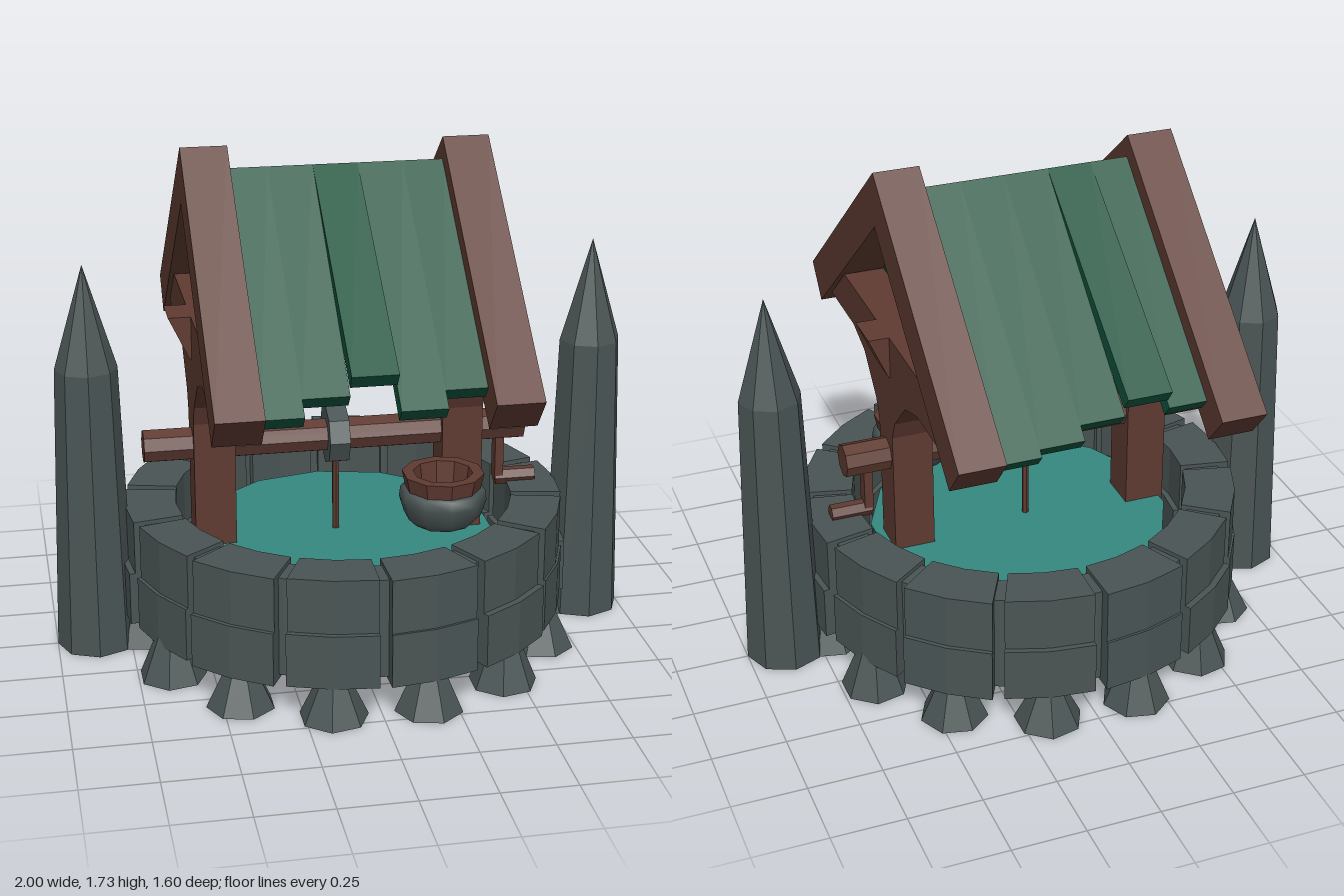
import * as THREE from 'three';

export function createModel() {
  const model = new THREE.Group();
  const mat = (name, color) => {
    const m = new THREE.MeshStandardMaterial({ color });
    m.name = name;
    return m;
  };
  const stone = mat('stone', 0x4a5454);
  const wood = mat('wood', 0x5f3a31);
  const green = mat('green planks', 0x10533b);
  const water = mat('water', 0x358880);

  const add = (name, geo, material, x = 0, y = 0, z = 0, parent = model) => {
    const mesh = new THREE.Mesh(geo, material);
    mesh.name = name;
    mesh.position.set(x, y, z);
    parent.add(mesh);
    return mesh;
  };
  const flat = (geo) => {
    const g = geo.index ? geo.toNonIndexed() : geo;
    g.computeVertexNormals();
    return g;
  };
  const cyl = (rTop, rBottom, h, sides) => flat(new THREE.CylinderGeometry(rTop, rBottom, h, sides));
  const box = (w, h, d) => new THREE.BoxGeometry(w, h, d);
  const extrude = (pts, depth) => new THREE.ExtrudeGeometry(
    new THREE.Shape(pts.map(([a, b]) => new THREE.Vector2(a, b))), { depth, bevelEnabled: false });
  // Outline given as (z, y), extruded along x from x0 to x1
  const alongX = (pts, x0, x1) =>
    extrude(pts.map(([z, y]) => [-z, y]), x1 - x0).rotateY(Math.PI / 2).translate(x0, 0, 0);

  // Wall: two tiers of curved blocks with narrow joints
  const N = 14, step = (Math.PI * 2) / N;
  const sector = (inner, outer, h) => {
    const half = step / 2 - 0.025, pts = [];
    for (const t of [-1, 0, 1]) pts.push([Math.sin(t * half) * outer, -Math.cos(t * half) * outer]);
    for (const t of [1, 0, -1]) pts.push([Math.sin(t * half) * inner, -Math.cos(t * half) * inner]);
    return extrude(pts, h).rotateX(-Math.PI / 2);
  };
  const tiers = [
    { name: 'lowerWallBlock', y: 0.125, h: 0.185, inner: 0.56, outer: 0.765 },
    { name: 'upperWallBlock', y: 0.31, h: 0.185, inner: 0.58, outer: 0.75 },
  ];
  for (const [t, tier] of tiers.entries()) {
    for (let i = 0; i < N; i++) {
      const r = tier.outer + 0.008 * Math.sin(i * 2.7 + t);
      add(tier.name, sector(tier.inner, r, tier.h), stone, 0, tier.y, 0).rotation.y = (i + 0.5) * step;
    }
  }
  // Mortar ring closing the joints
  const ring = new THREE.LatheGeometry([[0.6, 0.14], [0.715, 0.14], [0.715, 0.48], [0.6, 0.48], [0.6, 0.14]]
    .map(([r, y]) => new THREE.Vector2(r, y)), 28);
  add('mortarRing', flat(ring), stone);

  // Foot stones around the base
  for (let i = 0; i < N; i++) {
    const a = (i + 0.5) * step;
    const h = 0.18 + 0.02 * Math.sin(i * 1.9);
    const foot = add('footStone', cyl(0.035, 0.115, h, 7), stone, Math.sin(a) * 0.705, h / 2, Math.cos(a) * 0.705);
    foot.rotation.y = a;
  }

  // Basin and water
  const basin = [[0, 0], [0.41, 0], [0.41, 0], [0.415, 0.13], [0.46, 0.24], [0.5, 0.35]];
  add('basin', new THREE.LatheGeometry(basin.slice(2).map(([r, y]) => new THREE.Vector2(r, y)), 20), stone);
  add('basinFloor', new THREE.CircleGeometry(0.41, 20).rotateX(Math.PI / 2), stone);
  add('waterSurface', new THREE.CylinderGeometry(0.52, 0.52, 0.008, 14), water, 0, 0.356, 0);

  // Pointed side pillars
  for (const s of [-1, 1]) {
    add('pillarShaft', cyl(0.105, 0.135, 1, 8), stone, s * 0.865, 0.5, 0);
    add('pillarPoint', flat(new THREE.ConeGeometry(0.105, 0.355, 8)), stone, s * 0.865, 1.1775, 0);
  }

  // Timber frame: posts, brackets, ties and rafters
  const bracket = [[0.37, 1.04], [0.22, 0.99], [0.1, 0.87], [0.07, 0.8],
    [-0.07, 0.8], [-0.1, 0.87], [-0.22, 0.99], [-0.37, 1.04]];
  const rafters = [[0, 1.73], [0.785, 1.07], [0.693, 0.96], [0, 1.543], [-0.693, 0.96], [-0.785, 1.07]];
  const tie = [[-0.6, 1.03], [0.6, 1.03], [0.43, 1.178], [-0.43, 1.178]];
  for (const s of [-1, 1]) {
    const cx = -0.0225 + s * 0.4275;
    add('post', box(0.14, 0.72, 0.14), wood, cx, 0.7, 0);
    add('postBracket', alongX(bracket, cx - 0.07, cx + 0.07), wood);
    add('tieBeam', alongX(tie, cx - 0.07, cx + 0.07), wood);
    const rx = -0.0225 + s * 0.435;
    add('rafterPair', alongX(rafters, rx - 0.0775, rx + 0.0775), wood);
  }
  const cross = [[-0.525, 1.03], [0.48, 1.03], [0.545, 1.178], [-0.595, 1.178]];
  add('crossBeam', extrude(cross, 0.14), wood, 0, 0, -0.07);

  // Roof planks: end z and end y along each slope, one plank on each side lifted
  const edges = [-0.385, -0.25, -0.1, 0.05, 0.2, 0.34];
  const ridge = 1.655, slope = 0.846, thick = 0.055;
  const plank = (side, x0, x1, endZ, lift) => {
    const endY = ridge - slope * endZ + lift;
    const a = Math.atan2(ridge - endY, endZ);
    const pts = [[0, ridge], [endZ, endY],
      [endZ - Math.sin(a) * thick, endY - Math.cos(a) * thick], [0, ridge - thick / Math.cos(a)]];
    add('roofPlank', alongX(pts.map(([z, y]) => [side * z, y]), x0, x1), green);
  };
  const frontEnds = [0.72, 0.67, 0.69, 0.72, 0.67];
  const backEnds = [0.67, 0.69, 0.67, 0.71, 0.73];
  for (let i = 0; i < 5; i++) {
    plank(1, edges[i], edges[i + 1], frontEnds[i], i === 2 ? 0.085 : 0);
    plank(-1, edges[i], edges[i + 1], backEnds[i], i === 1 ? 0.085 : 0);
  }

  // Windlass with rope and crank
  const axle = cyl(0.058, 0.058, 1.315, 8).rotateZ(Math.PI / 2);
  add('axle', axle, wood, -0.0275, 0.708, 0);
  add('spool', cyl(0.102, 0.102, 0.07, 8).rotateZ(Math.PI / 2), stone, -0.025, 0.708, 0);
  add('rope', cyl(0.012, 0.012, 0.3, 6), wood, -0.025, 0.5, 0);
  add('crankArm', box(0.03, 0.19, 0.05), wood, 0.55, 0.6, 0);
  add('crankHandle', cyl(0.03, 0.03, 0.14, 6).rotateZ(Math.PI / 2), wood, 0.61, 0.51, 0);

  // Bucket: stone bowl with a hollow wooden rim
  const bucket = new THREE.Group();
  bucket.name = 'bucket';
  bucket.position.set(0.285, 0, 0.295);
  model.add(bucket);
  const lathe = (pts) => new THREE.LatheGeometry(pts.map(([r, y]) => new THREE.Vector2(r, y)), 10);
  add('bucketBowl', lathe([[0, 0.48], [0.1, 0.485], [0.13, 0.515], [0.147, 0.57], [0.142, 0.605], [0.125, 0.61]]),
    stone, 0, 0, 0, bucket);
  add('bucketRim', flat(lathe([[0.125, 0.6], [0.138, 0.662], [0.1, 0.662], [0.088, 0.56], [0, 0.56]])),
    wood, 0, 0, 0, bucket);

  return model;
}
